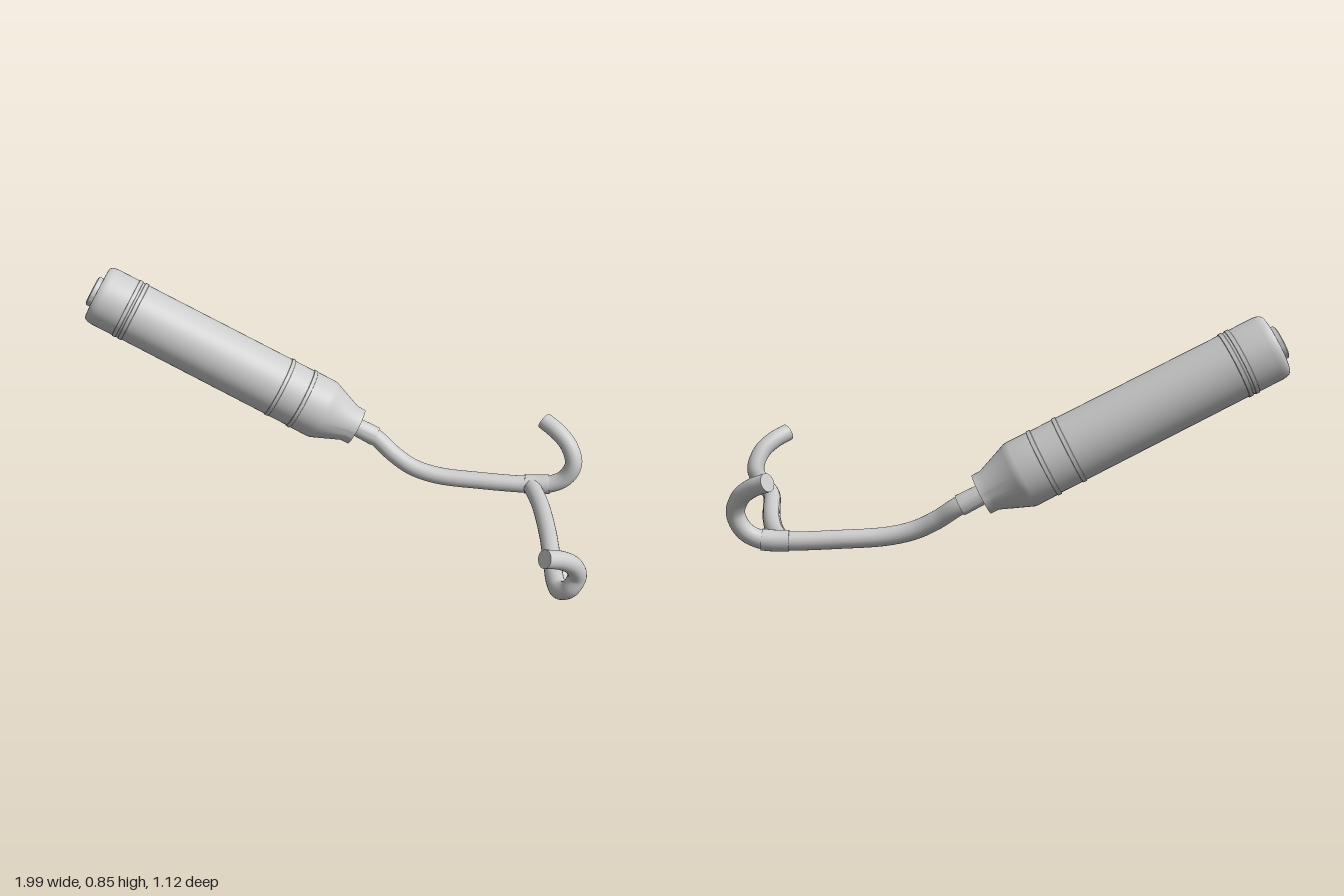
import * as THREE from 'three';
import { toCreasedNormals } from 'three/addons/utils/BufferGeometryUtils.js';

export function createModel() {
  const group = new THREE.Group();
  const metal = new THREE.MeshStandardMaterial({ color: 0xcccccc, side: THREE.DoubleSide });
  metal.name = 'brushed metal';

  const add = (parent, name, geometry) => {
    const mesh = new THREE.Mesh(geometry, metal);
    mesh.name = name;
    parent.add(mesh);
    return mesh;
  };
  // Profile points are [radius, distance along the axis]
  const lathe = (parent, name, profile, segments = 48) =>
    add(parent, name, toCreasedNormals(
      new THREE.LatheGeometry(profile.map(([r, t]) => new THREE.Vector2(r, t)), segments), 0.5));

  // Silencer: built along +y, then laid along its sloping axis
  const tail = new THREE.Vector3(-0.95, 0.757, -0.44);
  const inlet = new THREE.Vector3(0.085, 0.225, -0.419);
  const silencer = new THREE.Group();
  silencer.name = 'silencer';
  silencer.position.copy(tail);
  silencer.quaternion.setFromUnitVectors(
    new THREE.Vector3(0, 1, 0), inlet.clone().sub(tail).normalize());
  group.add(silencer);

  lathe(silencer, 'endCap', [
    [0.062, 0.045], [0.09, 0.045], [0.096, 0.006], [0.1, 0], [0.108, 0.002],
    [0.115, 0.009], [0.119, 0.02], [0.121, 0.035], [0.121, 0.15],
  ]);
  lathe(silencer, 'outletPipe', [
    [0, 0.1], [0.05, 0.1], [0.05, -0.018], [0.054, -0.022], [0.062, -0.018], [0.062, 0.06],
  ]);
  lathe(silencer, 'body', [[0.12, 0.14], [0.123, 0.94]]);
  lathe(silencer, 'inletCone', [
    [0.124, 0.915], [0.125, 1.0], [0.123, 1.015], [0.118, 1.027], [0.076, 1.132],
    [0.076, 1.164], [0.066, 1.164], [0.064, 1.135], [0.03, 1.13],
  ]);
  // Raised clamp bands
  for (const [t, r] of [[0.135, 0.121], [0.16, 0.121], [0.815, 0.123], [0.915, 0.124]]) {
    lathe(silencer, 'band', [
      [r - 0.002, t - 0.009], [r + 0.003, t - 0.007], [r + 0.003, t + 0.007], [r - 0.002, t + 0.009],
    ]);
  }
  lathe(silencer, 'inletSleeve', [
    [0.03, 1.12], [0.036, 1.12], [0.039, 1.25], [0.03, 1.25],
  ], 24);

  // Exhaust tubing with closed ends
  const pipe = (name, points, radius = 0.034) => {
    const curve = new THREE.CatmullRomCurve3(points.map((p) => new THREE.Vector3(...p)));
    add(group, name, new THREE.TubeGeometry(curve, 90, radius, 24));
    for (const u of [0, 1]) {
      const cap = add(group, name + 'End', new THREE.CircleGeometry(radius, 24));
      cap.position.copy(curve.getPoint(u));
      cap.quaternion.setFromUnitVectors(
        new THREE.Vector3(0, 0, 1), curve.getTangent(u).multiplyScalar(u ? 1 : -1));
    }
  };
  pipe('mainPipe', [
    [0.09, 0.223, -0.42], [0.17, 0.18, -0.412], [0.24, 0.128, -0.385], [0.32, 0.085, -0.362],
    [0.42, 0.06, -0.35], [0.6, 0.049, -0.346], [0.78, 0.045, -0.345], [0.87, 0.052, -0.345],
    [0.93, 0.085, -0.345], [0.96, 0.15, -0.35], [0.938, 0.215, -0.377],
    [0.892, 0.256, -0.412], [0.835, 0.283, -0.452],
  ]);
  pipe('branchPipe', [
    [0.795, 0.046, -0.345], [0.815, 0.046, -0.28], [0.838, 0.047, -0.18], [0.863, 0.048, 0],
    [0.878, 0.05, 0.18], [0.889, 0.056, 0.33], [0.905, 0.066, 0.4], [0.937, 0.095, 0.425],
    [0.96, 0.15, 0.425], [0.938, 0.215, 0.453], [0.892, 0.256, 0.486], [0.835, 0.283, 0.525],
  ]);

  // Collar where the two header pipes join
  pipe('junctionCollar', [
    [0.772, 0.046, -0.345], [0.82, 0.047, -0.345], [0.87, 0.052, -0.345],
  ], 0.039);

  return group;
}
